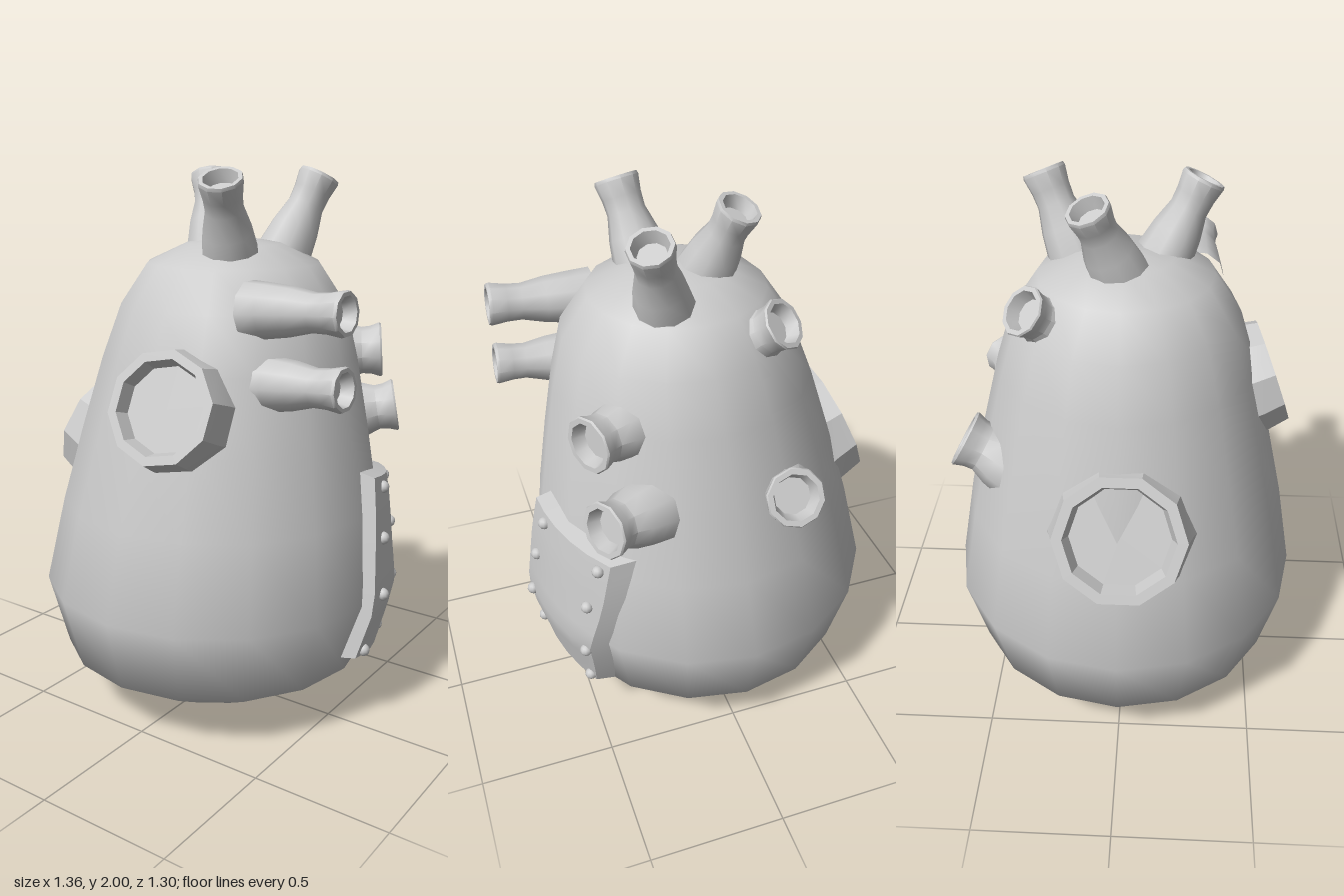
import * as THREE from 'three';
import { toCreasedNormals } from 'three/addons/utils/BufferGeometryUtils.js';

const material = new THREE.MeshStandardMaterial({ color: 0xcccccc });
const V = (x, y, z) => new THREE.Vector3(x, y, z);

// Body outline as [radius, height]
const outline = [[0, 0], [0.31, 0.05], [0.58, 0.21], [0.65, 0.48], [0.594, 0.8], [0.53, 1.08],
  [0.465, 1.34], [0.405, 1.53], [0.31, 1.67], [0.17, 1.735], [0, 1.76]];

function bodyRadius(y) {
  for (let i = 1; i < outline.length; i++) {
    const [r0, y0] = outline[i - 1], [r1, y1] = outline[i];
    if (y <= y1) return THREE.MathUtils.mapLinear(y, y0, y1, r0, r1);
  }
  return 0;
}

// The body leans slightly towards +x as it rises
const lean = (y) => -0.02 + 0.08 * THREE.MathUtils.clamp((y - 0.48) / 1.05, 0, 1);

function lathe(points, sides) {
  return new THREE.LatheGeometry(points.map(([r, y]) => new THREE.Vector2(r, y)), sides);
}

function addMesh(parent, name, geometry) {
  const mesh = new THREE.Mesh(geometry, material);
  mesh.name = name;
  parent.add(mesh);
  return mesh;
}

// A lathed part whose end is at tip and whose axis points along dir
function addPort(parent, name, points, length, crease, tip, dir) {
  const mesh = addMesh(parent, name, toCreasedNormals(lathe(points, 10), crease));
  const axis = dir.clone().normalize();
  mesh.quaternion.setFromUnitVectors(V(0, 1, 0), axis);
  mesh.position.copy(tip).addScaledVector(axis, -length);
}

// Flared pipe with a recessed end
function addPipe(parent, name, tip, base, rBase, rTip) {
  const dir = tip.clone().sub(base), L = dir.length();
  const neck = rTip * 0.86;
  const points = [[rBase, 0], [rBase * 0.93, L * 0.2], [(rBase + neck) / 2, L * 0.45], [neck, L * 0.68],
    [neck * 1.03, L * 0.82], [rTip, L * 0.97], [rTip * 0.96, L], [rTip * 0.78, L],
    [rTip * 0.62, L - 0.045], [0, L - 0.045]];
  addPort(parent, name, points, L, 0.72, tip, dir);
}

// Broad faceted socket with a recessed flat face
function addSocket(parent, name, tip, dir, rBase, rRim, length) {
  const points = [[rBase, 0], [rRim * 1.08, length * 0.55], [rRim, length], [rRim * 0.84, length],
    [rRim * 0.76, length - 0.05], [0, length - 0.05]];
  addPort(parent, name, points, length, 0.3, tip, dir);
}

// Point lying on the body's +x side, raised by offset
function onSide(y, z, offset) {
  const r = bodyRadius(y) + offset;
  return V(lean(y) + Math.sqrt(r * r - z * z), y, z);
}

// Curved plate: a box wrapped onto the body
function plateGeometry() {
  const g = new THREE.BoxGeometry(1, 1, 1, 1, 8, 5);
  const p = g.attributes.position;
  for (let i = 0; i < p.count; i++) {
    const outer = p.getX(i) > 0;
    const inset = outer ? 0.95 : 1;
    const v = p.getY(i) * inset + 0.5; // 0 bottom, 1 top
    const u = p.getZ(i) * inset + 0.5; // 0 back, 1 front
    const zBack = -0.345 - 0.105 * v - 0.15 * v * (1 - v);
    const zFront = 0.05 - 0.11 * v;
    const y = THREE.MathUtils.lerp(0.2 + 0.69 * v, 0.27 + 0.69 * v, u);
    const q = onSide(y, THREE.MathUtils.lerp(zBack, zFront, u), outer ? 0.045 : -0.04);
    p.setXYZ(i, q.x, q.y, q.z);
  }
  g.computeVertexNormals();
  return g;
}

export function createModel() {
  const model = new THREE.Group();
  model.name = 'pipedVessel';

  // Pear-shaped body
  const body = lathe(outline, 16);
  const p = body.attributes.position;
  for (let i = 0; i < p.count; i++) p.setX(i, p.getX(i) + lean(p.getY(i)));
  addMesh(model, 'body', body);

  // Pipes: name, tip, base, base radius, tip radius
  [
    ['topPipeMiddle', V(-0.12, 1.965, -0.115), V(-0.02, 1.66, 0.0), 0.11, 0.078],
    ['topPipeBack', V(0.235, 1.965, -0.295), V(0.14, 1.63, -0.155), 0.11, 0.078],
    ['topPipeFront', V(0.185, 1.965, 0.26), V(0.125, 1.64, 0.1), 0.11, 0.078],
    ['sidePipeUpper', V(0.665, 1.565, 0.26), V(0.3, 1.545, 0.25), 0.1, 0.075],
    ['sidePipeLower', V(0.665, 1.325, 0.26), V(0.33, 1.305, 0.25), 0.1, 0.075],
    ['backSidePipeUpper', V(0.48, 1.34, -0.36), V(0.28, 1.325, -0.255), 0.12, 0.1],
    ['backSidePipeLower', V(0.48, 1.1, -0.505), V(0.28, 1.06, -0.4), 0.125, 0.1],
    ['backPipeUpper', V(-0.2, 1.645, -0.33), V(-0.09, 1.51, -0.2), 0.11, 0.09],
    ['backPipeLower', V(-0.17, 1.115, -0.57), V(-0.185, 1.0, -0.36), 0.14, 0.105],
  ].forEach((args) => addPipe(model, ...args));

  // Sockets
  addSocket(model, 'frontSocket', V(0.14, 1.25, 0.54), V(0.12, 0.33, 0.94), 0.215, 0.195, 0.18);
  addSocket(model, 'sideSocket', V(-0.58, 0.995, 0.01), V(-0.92, 0.38, 0), 0.29, 0.23, 0.21);

  // Riveted plate
  const panel = new THREE.Group();
  panel.name = 'rivetedPanel';
  model.add(panel);
  addMesh(panel, 'plate', plateGeometry());
  const rivet = new THREE.SphereGeometry(0.023, 10, 8);
  [[0.885, -0.15], [0.71, -0.105], [0.51, -0.07], [0.3, -0.015],
    [0.84, -0.41], [0.665, -0.39], [0.45, -0.39], [0.25, -0.33]].forEach(([y, z]) => {
    addMesh(panel, 'rivet', rivet).position.copy(onSide(y, z, 0.045));
  });

  return model;
}
